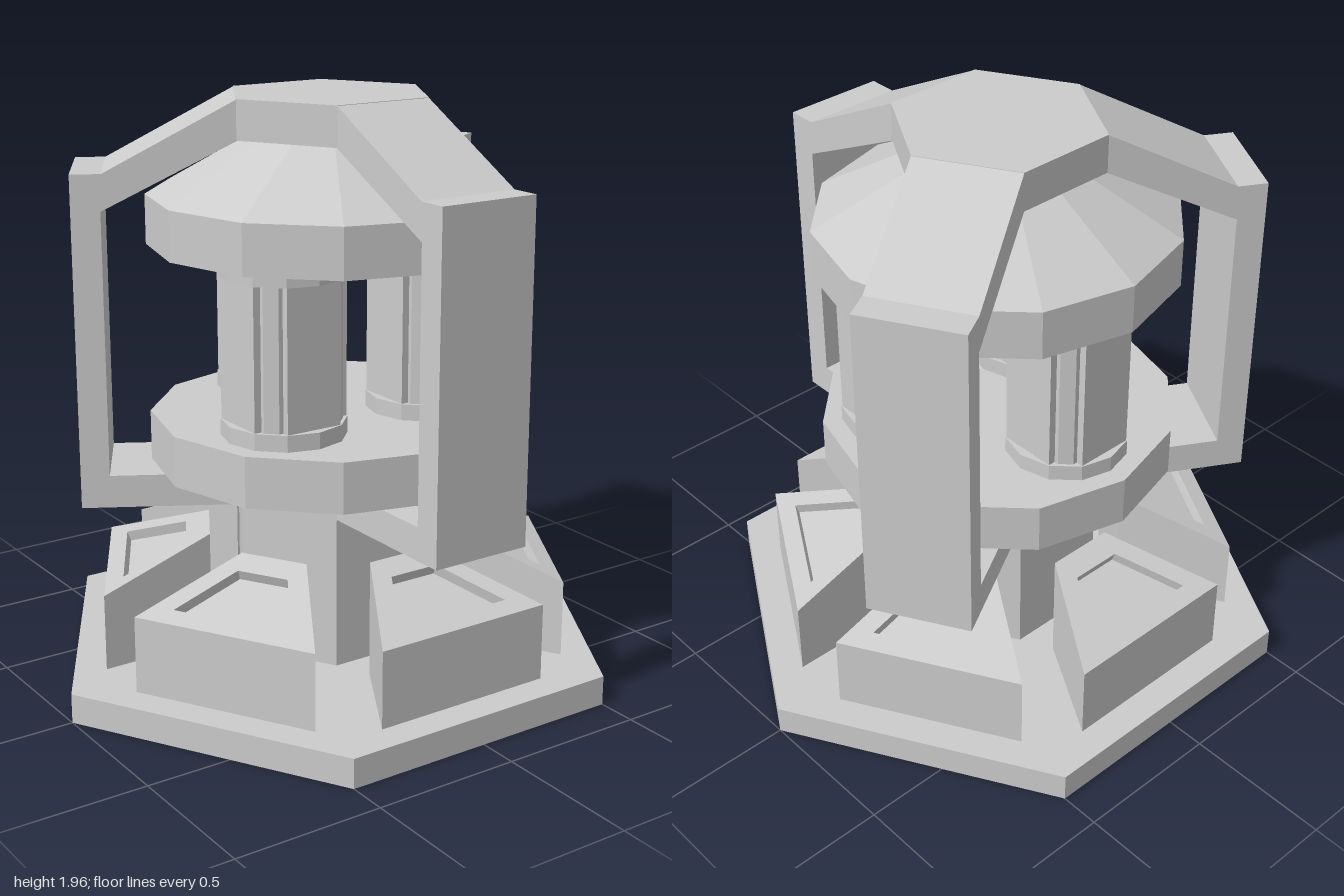
import * as THREE from 'three';

const solid = new THREE.MeshStandardMaterial({ color: 0xcccccc, flatShading: true });
const shell = new THREE.MeshStandardMaterial({ color: 0xcccccc, flatShading: true, side: THREE.DoubleSide });

function add(parent, name, geometry, material = solid) {
  const mesh = new THREE.Mesh(geometry, material);
  mesh.name = name;
  parent.add(mesh);
  return mesh;
}

// Upright prism or frustum between two heights
function prism(sides, rBottom, rTop, y0, y1, turn = 0, open = false) {
  return new THREE.CylinderGeometry(rTop, rBottom, y1 - y0, sides, 1, open)
    .rotateY(turn).translate(0, (y0 + y1) / 2, 0);
}

// Flat outline (x, -z) raised from y0 to y1
function slab(shape, y0, y1) {
  return new THREE.ExtrudeGeometry(shape, { depth: y1 - y0, bevelEnabled: false })
    .rotateX(-Math.PI / 2).translate(0, y0, 0);
}

const vec2 = (pts) => pts.map(([x, y]) => new THREE.Vector2(x, y));

function hexagon(r) {
  return Array.from({ length: 6 }, (_, i) =>
    new THREE.Vector2(r * Math.cos(i * Math.PI / 3), r * Math.sin(i * Math.PI / 3)));
}

// Footprint shared by the six blocks and the openings of the plate
const OUT = 0.76, IN = 0.41, OUT_W = 0.32, IN_W = 0.118;

// Block with a sloping top and a sunken trapezoid panel, open underneath
function blockGeometry() {
  const slope = 0.13 / (OUT - IN);
  const top = (z) => 0.36 + (OUT - z) * slope;
  const ring = (zo, wo, zi, wi, height) => [[-wo, zo], [wo, zo], [wi, zi], [-wi, zi]]
    .map(([x, z]) => new THREE.Vector3(x, height(z), z));
  const rim = ring(0.7, 0.21, 0.49, 0.09, top);
  const sink = new THREE.Vector3(0, -1, -slope).setLength(0.036);
  const rings = [
    ring(OUT, OUT_W, IN, IN_W, () => 0.1),
    ring(OUT, OUT_W, IN, IN_W, top),
    rim,
    rim.map((p) => p.clone().add(sink)),
  ];
  const pos = [];
  const quad = (a, b, c, d) => [a, b, c, a, c, d].forEach((p) => pos.push(p.x, p.y, p.z));
  for (let k = 0; k < 3; k++) {
    for (let i = 0; i < 4; i++) {
      const j = (i + 1) % 4;
      quad(rings[k][i], rings[k][j], rings[k + 1][j], rings[k + 1][i]);
    }
  }
  quad(...rings[3]);
  const g = new THREE.BufferGeometry();
  g.setAttribute('position', new THREE.Float32BufferAttribute(pos, 3));
  g.computeVertexNormals();
  return g;
}

// C-shaped bracket facing +z, profile given as (z, y)
function armGeometry() {
  const profile = new THREE.Shape(vec2([
    [0.3, 0.615], [0.83, 0.615], [0.83, 1.725], [0.73, 1.725], [0.3, 1.955],
    [0.3, 1.825], [0.735, 1.605], [0.735, 0.725], [0.3, 0.725],
  ]));
  return new THREE.ExtrudeGeometry(profile, { depth: 0.35, bevelEnabled: false })
    .translate(0, 0, -0.175).rotateY(-Math.PI / 2);
}

// Pillar section: four raised panels with chamfered corners between
function pillarGeometry() {
  const quarter = [[0.175, -0.1], [0.175, 0.1], [0.15, 0.1], [0.15, 0.115], [0.115, 0.15], [0.1, 0.15]];
  const pts = [];
  for (let i = 0; i < 4; i++) {
    vec2(quarter).forEach((p) => pts.push(p.rotateAround(new THREE.Vector2(), i * Math.PI / 2)));
  }
  return slab(new THREE.Shape(pts), 0.95, 1.42);
}

export function createModel() {
  const model = new THREE.Group();
  model.name = 'reactorTower';

  // Hexagonal base plate with openings under the column and blocks
  const plate = new THREE.Shape(hexagon(1));
  plate.holes.push(new THREE.Path(hexagon(0.35).reverse()));
  for (let i = 0; i < 6; i++) {
    const hole = vec2([[-OUT_W, OUT], [OUT_W, OUT], [IN_W, IN], [-IN_W, IN]]);
    hole.forEach((p) => p.rotateAround(new THREE.Vector2(), i * Math.PI / 3));
    plate.holes.push(new THREE.Path(hole));
  }
  add(model, 'basePlate', slab(plate, 0, 0.1));

  // Ring of six panelled blocks
  const block = blockGeometry();
  for (let i = 0; i < 6; i++) {
    add(model, 'baseBlock', block, shell).rotation.y = i * Math.PI / 3;
  }

  // Central column, hollow from below
  add(model, 'column', prism(6, 0.35, 0.35, 0.1, 0.725, Math.PI / 6, true), shell);

  // Lower and upper discs, cone roof and hexagonal cap
  add(model, 'lowerDisc', prism(12, 0.6, 0.6, 0.725, 0.895));
  add(model, 'upperDisc', prism(12, 0.6, 0.6, 1.465, 1.63));
  add(model, 'coneRoof', prism(12, 0.6, 0.25, 1.63, 1.825));
  add(model, 'cap', prism(6, 0.35, 0.35, 1.825, 1.955, Math.PI / 6));

  // Three brackets, with three collared pillars standing between them
  const arm = armGeometry();
  const pillar = pillarGeometry();
  for (let i = 0; i < 3; i++) {
    const a = i * 2 * Math.PI / 3;
    add(model, 'arm', arm).rotation.y = a;

    const group = new THREE.Group();
    group.name = 'pillar';
    group.position.set(0.33 * Math.sin(a + Math.PI / 3), 0, 0.33 * Math.cos(a + Math.PI / 3));
    add(group, 'pillarShaft', pillar);
    add(group, 'lowerCollar', prism(12, 0.205, 0.205, 0.895, 0.95));
    add(group, 'upperCollar', prism(12, 0.205, 0.205, 1.42, 1.465));
    model.add(group);
  }
  return model;
}
